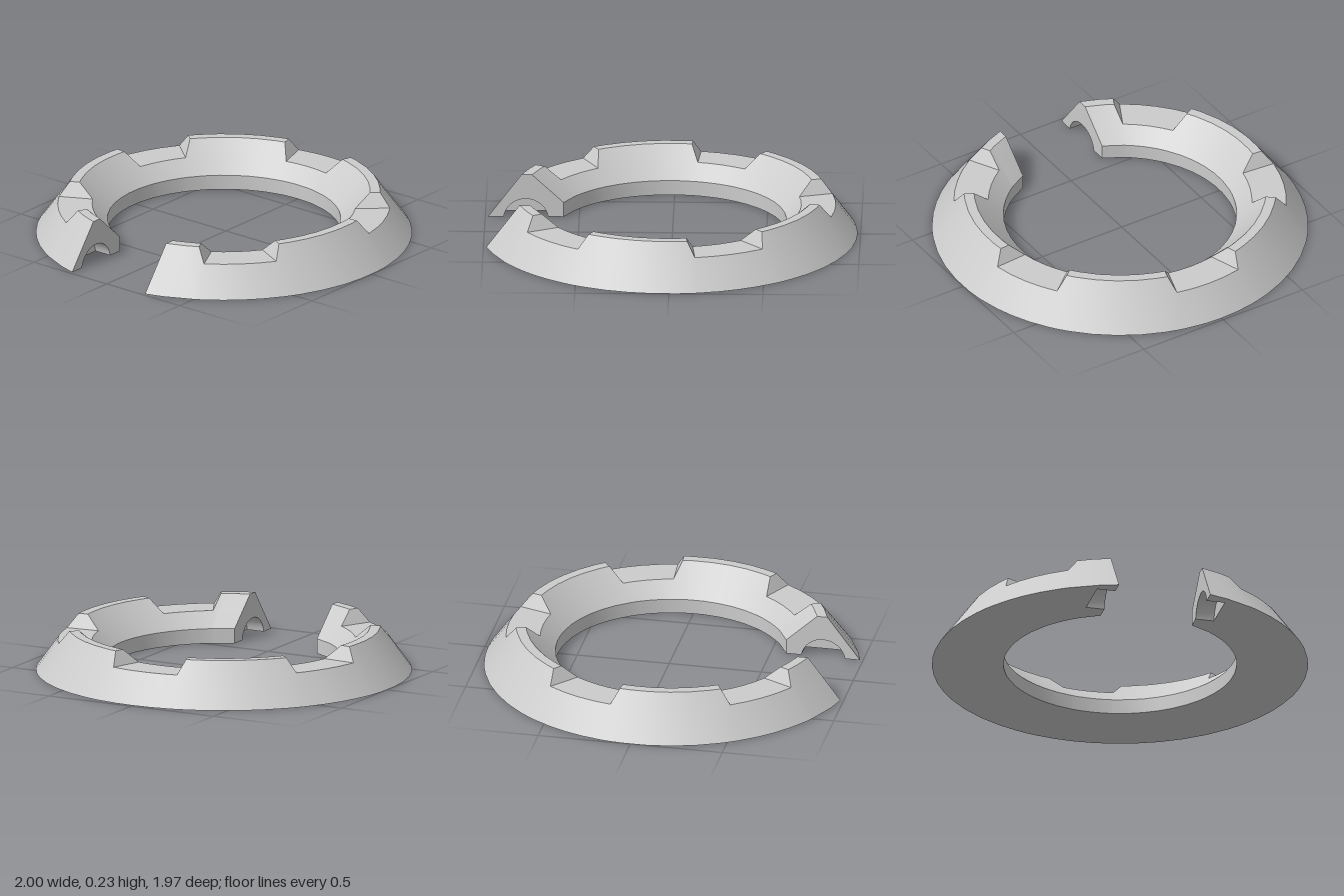
import * as THREE from 'three';
import { mergeGeometries, toCreasedNormals } from 'three/addons/utils/BufferGeometryUtils.js';

const CENTRE_Z = 0.016;   // ring axis
const GAP = 0.25;         // half width of the front opening
const BLOCK = 0.35;       // x where the grooved end blocks begin
const RAD = Math.PI / 180;

// Cross-sections as [radius, height]: inner base, shoulder, inner top, outer top, outer base
const RIM = [[0.62, 0], [0.62, 0.08], [0.777, 0.235], [0.83, 0.235], [1, 0]];
const FLOOR = [[0.62, 0], [0.62, 0.08], [0.701, 0.16], [0.884, 0.16], [1, 0]];

// Half angles of the notch floor edge and of the notch top edge, per section point
const FLOOR_EDGE = [10, 10, 11.2, 12.6, 12.6];
const TOP_EDGE = [10.3, 10.3, 14.76, 14.9, 15];

// One section; angles run in degrees from the back towards +x
function section(profile, angles) {
  return profile.map(([r, y], i) => {
    const a = angles[i] * RAD;
    return [r * Math.sin(a), y, -r * Math.cos(a)];
  });
}

function ringBody() {
  const columns = [];
  const add = (profile, centre, offsets) =>
    columns.push(section(profile, offsets.map((o) => centre + o)));
  const all = (v) => Array(5).fill(v);
  const flip = (edge) => edge.map((v) => -v);
  const end = RIM.map(([r]) => 180 - Math.asin(BLOCK / r) / RAD);

  add(RIM, 0, flip(end));
  for (const n of [-135, -67.5, 0, 67.5, 135]) {
    add(RIM, n, flip(TOP_EDGE));
    add(FLOOR, n, flip(FLOOR_EDGE));
    for (const a of [-6, 0, 6]) add(FLOOR, n, all(a));
    add(FLOOR, n, FLOOR_EDGE);
    add(RIM, n, TOP_EDGE);
    if (n < 135) for (const a of [18.75, 26.25, 33.75, 41.25, 48.75]) add(RIM, n, all(a));
  }
  add(RIM, 0, end);

  const pos = [];
  const tri = (a, b, c) => pos.push(...a, ...b, ...c);
  for (let i = 0; i < columns.length - 1; i++) {
    const p = columns[i], q = columns[i + 1];
    for (let j = 0; j < 5; j++) {
      const k = (j + 1) % 5;
      tri(p[j], q[j], p[k]);
      tri(p[k], q[j], q[k]);
    }
  }
  // flat ends, which also close the grooves
  const first = columns[0], last = columns[columns.length - 1];
  for (let j = 1; j < 4; j++) {
    tri(first[0], first[j], first[j + 1]);
    tri(last[0], last[j + 1], last[j]);
  }
  const g = new THREE.BufferGeometry();
  g.setAttribute('position', new THREE.Float32BufferAttribute(pos, 3));
  return g;
}

// End block beside the opening, with a rounded groove cut in from below
function endBlock(side) {
  const grooveZ = 0.768, grooveY = -0.02, grooveR = 0.12;
  const start = Math.asin(-grooveY / grooveR);
  const shape = new THREE.Shape();
  RIM.forEach(([r, y], i) => {
    const z = Math.sqrt(r * r - GAP * GAP);
    if (i === 0) shape.moveTo(z, y);
    else shape.lineTo(z, y);
  });
  for (let i = 0; i <= 16; i++) {
    const a = start + (Math.PI - 2 * start) * i / 16;
    shape.lineTo(grooveZ + grooveR * Math.cos(a), Math.max(0, grooveY + grooveR * Math.sin(a)));
  }
  const g = new THREE.ExtrudeGeometry(shape, { depth: BLOCK - GAP, bevelEnabled: false });
  g.rotateY(-Math.PI / 2);
  g.translate(side > 0 ? BLOCK : -GAP, 0, 0);
  // bend the outer skin along the ring while the groove stays straight
  const p = g.attributes.position;
  for (let i = 0; i < p.count; i++) {
    const x = p.getX(i), z = p.getZ(i);
    if (Math.hypot(z - grooveZ, p.getY(i) - grooveY) > grooveR + 0.005) {
      p.setZ(i, Math.sqrt(z * z + GAP * GAP - x * x));
    }
  }
  g.deleteAttribute('uv');
  g.deleteAttribute('normal');
  g.clearGroups();
  return g;
}

export function createModel() {
  const group = new THREE.Group();
  group.name = 'notchedOpenRing';
  const merged = mergeGeometries([ringBody(), endBlock(1), endBlock(-1)]);
  const ring = new THREE.Mesh(
    toCreasedNormals(merged, 0.5),
    new THREE.MeshStandardMaterial({ color: 0xcccccc })
  );
  ring.name = 'notchedRing';
  ring.position.z = CENTRE_Z;
  group.add(ring);
  return group;
}
